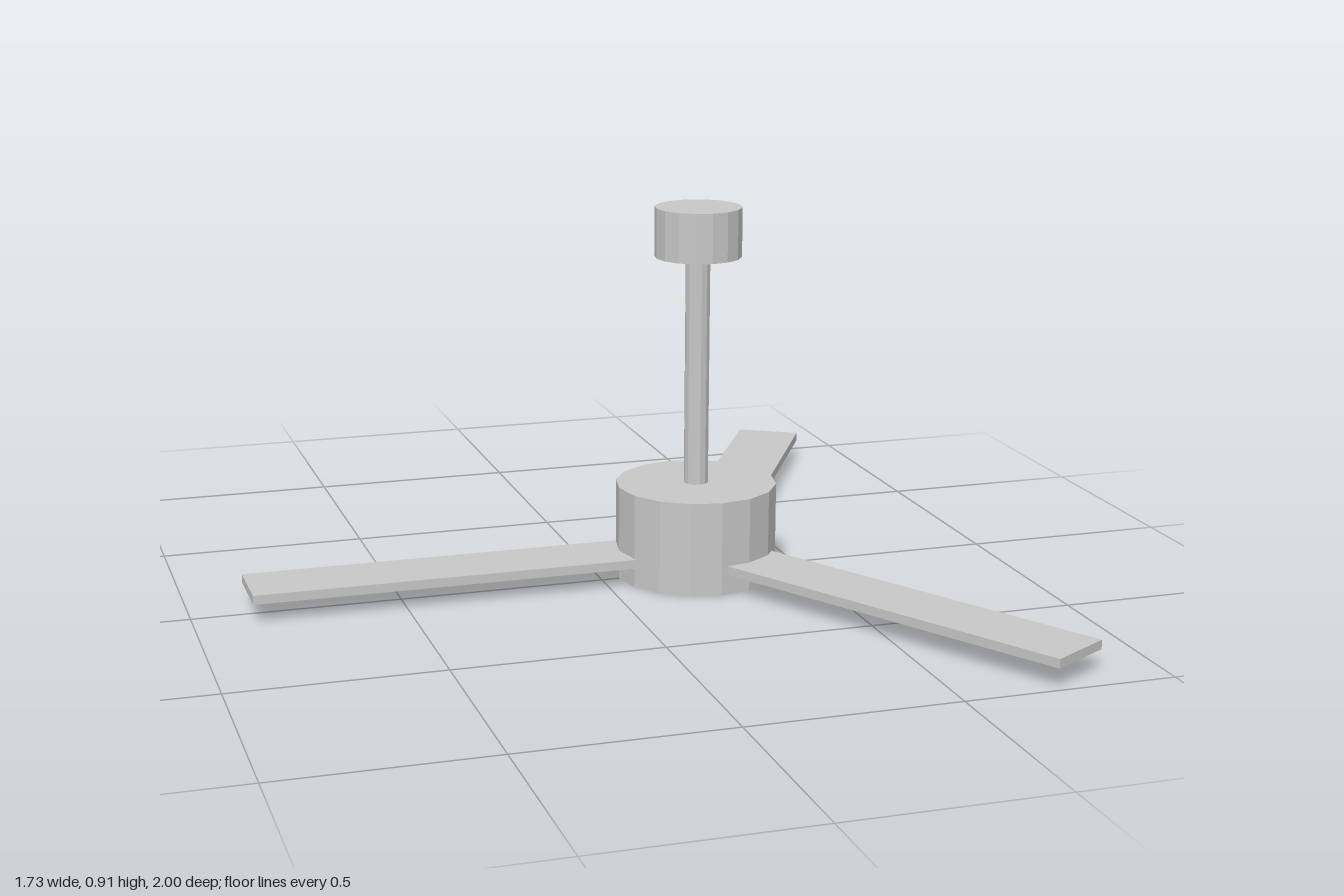
import * as THREE from 'three';

export function createModel() {
  const group = new THREE.Group();
  const metal = new THREE.MeshStandardMaterial({ color: 0xc8c8c8, flatShading: true, side: THREE.DoubleSide });
  metal.name = 'light grey';
  const hubX = 0.24;

  const add = (name, geometry, parent = group) => {
    const mesh = new THREE.Mesh(geometry, metal);
    mesh.name = name;
    parent.add(mesh);
    return mesh;
  };

  // Faceted cup: closed on top, open underneath
  const cup = (name, radius, bottom, top, sides) => {
    const profile = [[radius, bottom], [radius, top], [0, top]].map(p => new THREE.Vector2(...p));
    const geometry = new THREE.LatheGeometry(profile, sides);
    add(name, geometry).position.x = hubX;
  };
  cup('motorHousing', 0.196, 0, 0.23, 16);
  cup('ceilingCanopy', 0.105, 0.79, 0.91, 16);

  // Hanging rod between housing and canopy
  const rod = add('downRod', new THREE.CylinderGeometry(0.03, 0.03, 0.68, 12, 1, true));
  rod.position.set(hubX, 0.57, 0);

  // Three flat blades, their roots just inside the housing wall
  const inner = 0.155, outer = 1.105;
  for (let i = 0; i < 3; i++) {
    const arm = new THREE.Group();
    arm.name = 'bladeArm' + (i + 1);
    arm.position.set(hubX, 0.06, 0);
    arm.rotation.y = Math.PI + i * Math.PI * 2 / 3;
    group.add(arm);
    const blade = add('blade', new THREE.BoxGeometry(outer - inner, 0.022, 0.166), arm);
    blade.position.x = (inner + outer) / 2;
  }
  return group;
}
